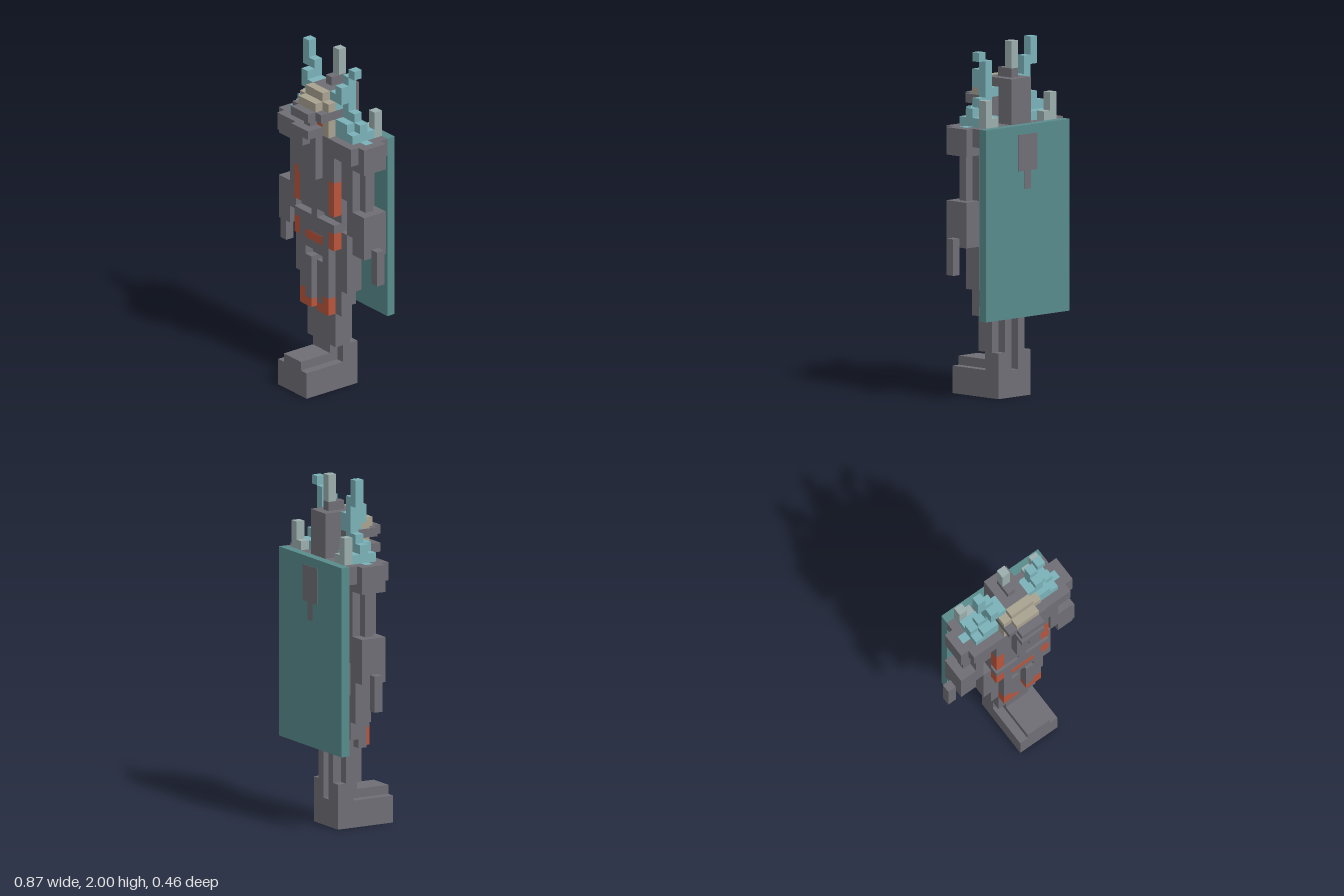
import * as THREE from 'three';

export function createModel() {
  const model = new THREE.Group();
  const U = 2 / 39; // one block
  const mat = (name, color) => {
    const m = new THREE.MeshStandardMaterial({ color });
    m.name = name;
    return m;
  };
  const dark = mat('dark grey', 0x6f6e75);
  const cloth = mat('cape teal', 0x588b8c);
  const teal = mat('pale teal', 0x7ab2b8);
  const ash = mat('ash', 0x9aaead);
  const bone = mat('bone', 0xa8a290);
  const ember = mat('ember orange', 0xb8553c);

  // x and z are inclusive block columns, y runs from y0 to y1 in blocks
  const box = (name, m, x0, x1, y0, y1, z0, z1) => {
    const g = new THREE.BoxGeometry((x1 - x0 + 1) * U, (y1 - y0) * U, (z1 - z0 + 1) * U);
    const mesh = new THREE.Mesh(g, m);
    mesh.position.set((x0 + x1) / 2 * U, (y0 + y1) / 2 * U, (z0 + z1) / 2 * U);
    mesh.name = name;
    model.add(mesh);
    return mesh;
  };
  const pair = (name, m, x0, x1, ...rest) => {
    box(name + 'Left', m, x0, x1, ...rest);
    box(name + 'Right', m, -x1, -x0, ...rest);
  };
  // thin painted plate on a face, flat along one axis
  const plate = (name, m, x0, x1, y0, y1, z, side) => {
    const mesh = box(name, m, x0, x1, y0, y1, z, z);
    mesh.scale.z = 0.06;
    mesh.position.z = (z + side * 0.5) * U;
  };

  // foot block and legs
  box('foot', dark, -2, 2, 0, 3, -2, 4);
  box('footTop', dark, -1, 1, 3, 4, -1, 4);
  box('legCore', dark, -1, 1, 4, 13, -1, 0);
  pair('legSide', dark, 2, 2, 3, 13, -1, -1);
  pair('legFront', dark, 2, 2, 5, 13, 0, 0);
  pair('heel', dark, 2, 2, 3, 5, -2, -2);
  pair('legBackRidge', dark, 1, 1, 3, 13, -2, -2);
  pair('thigh', dark, 1, 2, 13, 15, -2, 0);

  // skirt with ember hems
  pair('skirtPanelOuter', dark, 2, 2, 11, 17, 1, 1);
  pair('skirtPanelInner', dark, 1, 1, 10, 15, 1, 1);
  pair('skirtHemOuter', ember, 2, 2, 9, 11, 1, 1);
  pair('skirtHemInner', ember, 1, 1, 9, 10, 1, 1);
  pair('skirtSide', dark, 3, 3, 10, 17, -1, 0);
  pair('skirtSideTip', dark, 3, 3, 9, 10, 0, 0);
  pair('hipGuard', dark, 4, 4, 12, 19, -1, 0);
  box('beltUnder', dark, -1, 1, 16, 17, 1, 1);

  // torso
  box('hips', dark, -3, 3, 15, 20, -2, 0);
  box('waist', dark, -3, 3, 20, 21, -2, 0);
  box('chest', dark, -3, 3, 21, 30, -2, 0);
  pair('ribSide', dark, 4, 4, 23, 27, -2, 0);
  box('belt', dark, -2, 2, 17, 20, 1, 1);
  pair('beltEnd', dark, 3, 3, 19, 20, 1, 1);
  pair('beltEmber', ember, 3, 3, 17, 19, 1, 1);
  plate('beltBuckle', ember, -1, 1, 17, 18, 1, 1);
  box('waistBridge', dark, 0, 0, 20, 21, 1, 1);
  box('breastplate', dark, -2, 2, 21, 30, 1, 1);
  pair('breastEmber', ember, 3, 3, 21, 25, 1, 1);
  pair('breastEdge', dark, 3, 3, 25, 30, 1, 1);
  box('chestTabard', dark, -1, 1, 25, 31, 2, 2);
  pair('backEmberLow', ember, 3, 3, 17, 19, -3, -3);
  pair('backEmberHigh', ember, 3, 3, 21, 23, -3, -3);
  box('backBelt', dark, -3, 3, 19, 20, -3, -3);
  pair('backTab', dark, 3, 3, 16, 17, -3, -3);

  // cape
  box('cape', cloth, -6, 6, 9, 30, -4, -4);
  box('capeFold', cloth, -3, 3, 23, 26, -3, -3);
  box('upperBack', dark, -3, 3, 26, 30, -3, -3);
  plate('capeEmblem', dark, -1, 1, 25, 29, -4, -1);
  plate('capeEmblemTip', dark, 0, 0, 23, 25, -4, -1);

  // shoulders and arms
  pair('shoulder', dark, 4, 6, 28, 30, -3, 1);
  pair('shoulderUnder', dark, 4, 6, 27, 28, -2, 0);
  pair('shoulderEdge', dark, 7, 7, 27, 30, -2, 0);
  pair('upperArm', dark, 5, 5, 22, 27, -2, 0);
  pair('armRidge', dark, 6, 6, 22, 27, -1, -1);
  pair('elbow', dark, 5, 5, 19, 22, -2, 0);
  pair('forearm', dark, 6, 6, 17, 22, -2, 0);
  pair('forearmGuard', dark, 7, 7, 17, 22, -2, 0);
  pair('hand', dark, 8, 8, 14, 18, -1, -1);

  // crystals on the shoulders
  for (const s of [1, -1]) {
    const p = box('shoulderInlay', teal, s * 6, s * 6, 29, 30, -1, -1);
    p.scale.y = 0.06;
    p.position.y = 30 * U;
  }
  pair('crystalFront', teal, 3, 5, 30, 31, 0, 0);
  pair('crystalFrontStep', teal, 3, 4, 31, 32, 0, 0);
  pair('crystalOuter', teal, 5, 5, 30, 32, -1, -1);
  pair('crystalMiddle', teal, 4, 4, 30, 33, -1, -1);
  pair('crystalBack', teal, 3, 5, 30, 31, -2, -2);
  pair('ashSpikeTall', ash, 5, 5, 30, 33, -3, -3);
  pair('ashSpikeShort', ash, 4, 4, 30, 31, -3, -3);

  // head and face
  box('skull', dark, -1, 1, 30, 35, -3, 0);
  pair('cheek', dark, 2, 2, 30, 33, -1, 0);
  box('jaw', dark, -1, 1, 30, 31, 1, 1);
  pair('eye', ember, 1, 1, 31, 32, 1, 1);
  box('nose', dark, 0, 0, 31, 32, 1, 2);
  pair('cheekBone', bone, 2, 2, 30, 32, 1, 1);
  box('visor', dark, -2, 2, 32, 33, 1, 2);
  box('visorBrim', dark, -1, 1, 32, 33, 3, 3);
  box('brow', bone, -2, 2, 33, 34, 1, 1);
  box('browFront', bone, -1, 1, 33, 34, 2, 2);
  box('browTop', bone, -1, 1, 34, 35, 1, 1);
  box('chin', dark, -1, 1, 30, 31, 3, 3);
  box('chinTip', dark, 0, 0, 29, 30, 3, 3);

  // crest and antlers
  box('crestBase', dark, 0, 0, 35, 36, -2, -1);
  box('crestSpike', ash, 0, 0, 36, 39, -2, -2);
  pair('antlerRoot', teal, 2, 2, 33, 34, -1, 0);
  box('antlerKnobRight', teal, -2, -2, 34, 35, -1, 0);
  box('antlerKnobLeft', teal, 2, 2, 34, 35, 0, 0);
  pair('antlerStem', teal, 3, 3, 30, 37, -1, -1);
  pair('antlerBranch', teal, 3, 3, 34, 36, 0, 0);
  box('antlerTipRight', teal, -4, -4, 36, 39, -1, -1);
  box('antlerTipLeft', teal, 4, 4, 37, 38, -1, -1);

  return model;
}
